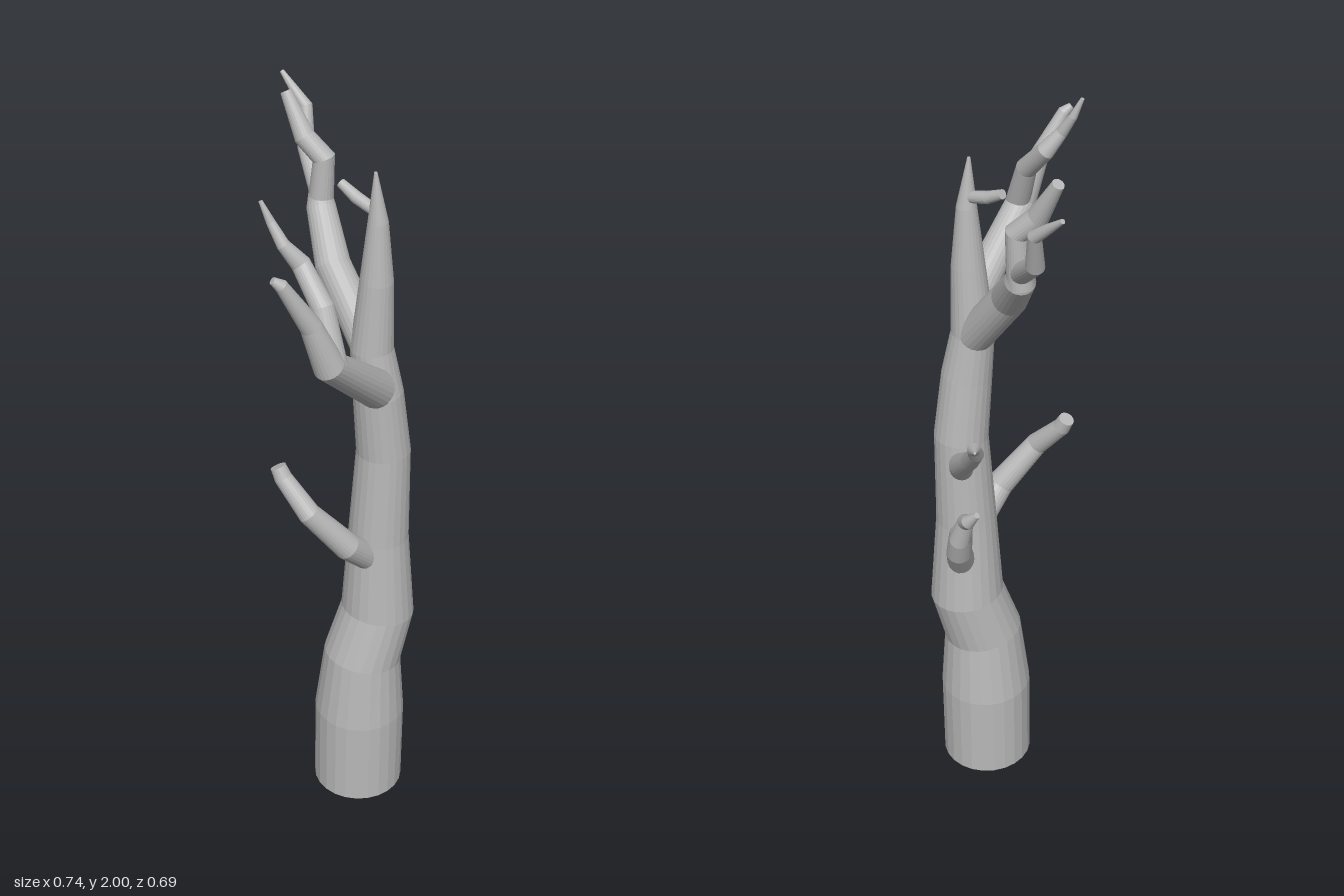
import * as THREE from 'three';

const SIDES = 24;

// Capped, tapering limb through rings of [x, y, z, radius]
function limbGeometry(rings) {
  const pts = rings.map(r => new THREE.Vector3(r[0], r[1], r[2]));
  const last = pts.length - 1;
  const pos = [], index = [];
  const normal = new THREE.Vector3(0, 0, 1);
  pts.forEach((p, i) => {
    const dirIn = pts[Math.max(i, 1)].clone().sub(pts[Math.max(i, 1) - 1]).normalize();
    const j = Math.min(i, last - 1);
    const dirOut = pts[j + 1].clone().sub(pts[j]).normalize();
    const t = dirIn.add(dirOut).normalize();
    // Carry the frame along the limb so it does not twist
    normal.addScaledVector(t, -normal.dot(t)).normalize();
    const side = new THREE.Vector3().crossVectors(t, normal);
    for (let k = 0; k < SIDES; k++) {
      const a = (k / SIDES) * Math.PI * 2;
      const v = p.clone()
        .addScaledVector(normal, Math.cos(a) * rings[i][3])
        .addScaledVector(side, Math.sin(a) * rings[i][3]);
      pos.push(v.x, v.y, v.z);
    }
  });
  const start = pos.length / 3, end = start + 1;
  pos.push(...pts[0].toArray(), ...pts[last].toArray());
  for (let k = 0; k < SIDES; k++) {
    const n = (k + 1) % SIDES;
    for (let i = 0; i < last; i++) {
      const a = i * SIDES, b = a + SIDES;
      index.push(a + k, a + n, b + n, a + k, b + n, b + k);
    }
    index.push(start, n, k, end, last * SIDES + k, last * SIDES + n);
  }
  const g = new THREE.BufferGeometry();
  g.setAttribute('position', new THREE.Float32BufferAttribute(pos, 3));
  g.setIndex(index);
  g.computeVertexNormals();
  return g;
}

const LIMBS = {
  trunk: [
    [0.11, 0, -0.117, 0.126], [0.11, 0.26, -0.117, 0.126], [0.115, 0.45, -0.12, 0.108],
    [0.13, 0.6, -0.16, 0.101], [0.13, 0.85, -0.155, 0.082], [0.135, 1.12, -0.16, 0.072],
    [0.13, 1.3, -0.14, 0.066], [0.117, 1.43, -0.127, 0.056], [0.125, 1.62, -0.13, 0.043],
    [0.125, 1.78, -0.13, 0.026], [0.12, 1.91, -0.123, 0.004],
  ],
  topTwig: [[0.125, 1.805, -0.128, 0.015], [0.06, 1.825, -0.118, 0.016], [0.012, 1.85, -0.11, 0.012]],
  // Upper right branch with two forks
  upperRightBranch: [
    [0.12, 1.41, -0.13, 0.05], [-0.04, 1.6, -0.135, 0.046], [-0.14, 1.71, -0.185, 0.038],
    [-0.155, 1.76, -0.192, 0.026],
  ],
  upperRightInnerFork: [
    [-0.145, 1.7, -0.187, 0.034], [-0.14, 1.84, -0.193, 0.03], [-0.185, 1.89, -0.168, 0.027],
    [-0.245, 1.994, -0.16, 0.015],
  ],
  upperRightOuterFork: [
    [-0.14, 1.73, -0.188, 0.028], [-0.255, 1.82, -0.237, 0.023], [-0.283, 1.915, -0.262, 0.017],
    [-0.325, 1.95, -0.257, 0.012], [-0.368, 1.985, -0.255, 0.006],
  ],
  // Upper left branch reaching forward, with two forks
  upperLeftBranch: [
    [0.125, 1.3, -0.135, 0.045], [0.262, 1.425, 0, 0.049], [0.327, 1.6, 0.215, 0.039],
    [0.31, 1.71, 0.255, 0.027], [0.288, 1.83, 0.325, 0.016], [0.278, 1.845, 0.342, 0.009],
  ],
  upperLeftInnerFork: [
    [0.33, 1.59, 0.2, 0.033], [0.275, 1.72, 0.187, 0.028], [0.195, 1.8, 0.183, 0.024],
    [0.17, 1.85, 0.215, 0.016], [0.14, 1.9, 0.226, 0.011], [0.122, 1.95, 0.24, 0.005],
  ],
  // Smaller branches at the back
  backUpperBranch: [
    [0.12, 1.01, -0.17, 0.035], [0.07, 1.08, -0.215, 0.031], [-0.02, 1.16, -0.255, 0.024],
    [-0.09, 1.235, -0.29, 0.02], [-0.11, 1.27, -0.312, 0.017], [-0.152, 1.295, -0.342, 0.003],
  ],
  backLowerBranch: [
    [0.12, 0.7, -0.18, 0.042], [0.05, 0.82, -0.245, 0.034], [0.018, 0.905, -0.262, 0.031],
    [-0.02, 0.93, -0.295, 0.027], [-0.04, 0.995, -0.29, 0.022], [-0.07, 1.02, -0.305, 0.018],
    [-0.098, 1.053, -0.298, 0.008],
  ],
  // Stub at the front, cut off bluntly
  frontBranch: [
    [0.14, 0.79, -0.12, 0.04], [0.15, 0.88, -0.02, 0.037], [0.1, 1, 0.07, 0.03],
    [0.025, 1.085, 0.093, 0.024], [0.01, 1.115, 0.097, 0.021],
  ],
};

export function createModel() {
  const bark = new THREE.MeshStandardMaterial({ color: 0xb8b8b8, flatShading: true });
  bark.name = 'greyBark';
  const tree = new THREE.Group();
  tree.name = 'bareTree';
  for (const [name, rings] of Object.entries(LIMBS)) {
    const mesh = new THREE.Mesh(limbGeometry(rings), bark);
    mesh.name = name;
    tree.add(mesh);
  }
  return tree;
}
